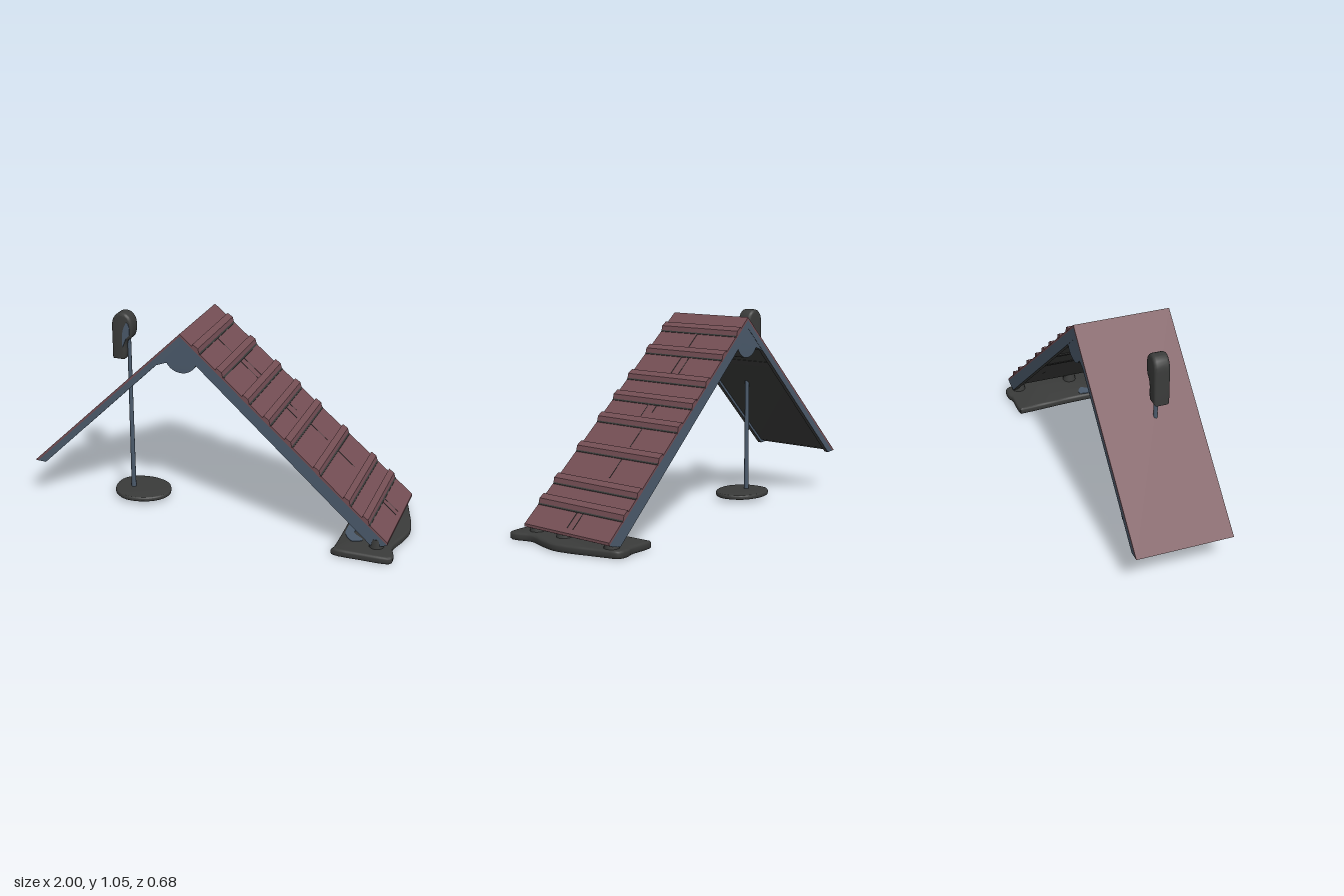
import * as THREE from 'three';
import { toCreasedNormals } from 'three/addons/utils/BufferGeometryUtils.js';

const mat = (name, color) => {
  const m = new THREE.MeshStandardMaterial({ color });
  m.name = name;
  return m;
};

export function createModel() {
  const group = new THREE.Group();
  const red = mat('brick red', 0x744e54);
  const blue = mat('slate blue', 0x4b5a6b);
  const dark = mat('charcoal', 0x3a3b3a);

  const add = (name, geo, material, parent = group) => {
    const m = new THREE.Mesh(geo, material);
    m.name = name;
    parent.add(m);
    return m;
  };
  const poly = (pts) => new THREE.Shape(pts.map((p) => new THREE.Vector2(...p)));

  // Ramp outline seen from above and height of its walking surface
  const lerp = THREE.MathUtils.lerp;
  const peak = -0.16;
  const edge = (x, a, b, c) => (x < peak ? lerp(b, a, (peak - x) / 0.84) : lerp(b, c, (x - peak) / 1.1));
  const front = (x) => edge(x, 0.27, 0.25, 0.262);
  const back = (x) => edge(x, -0.23, -0.25, -0.308);
  const top = (x) => 1.05 - (x < peak ? 0.97 * (peak - x) : 0.873 * (x - peak));

  // Side profile stretched across the ramp; f0..f1 is a fraction of its width
  const across = (name, shape, material, f0 = 0, f1 = 1) => {
    const geo = new THREE.ExtrudeGeometry(shape, { depth: 1, bevelEnabled: false, curveSegments: 20 });
    const p = geo.attributes.position;
    for (let i = 0; i < p.count; i++) {
      const x = p.getX(i);
      p.setZ(i, lerp(back(x), front(x), lerp(f0, f1, p.getZ(i))));
    }
    return add(name, toCreasedNormals(geo, 0.5), material);
  };
  const band = (x0, x1, d0, d1) => poly([
    [x0, top(x0) - d0], [x1, top(x1) - d0], [x1, top(x1) - d1], [x0, top(x0) - d1]]);

  // Red walking surfaces
  across('shortRampDeck', poly([[peak, 1.05], [-1, 0.235], [-0.985, 0.233], [peak, 1.036]]), red);
  across('longRampDeck', band(peak, 0.94, 0, 0.014), red);

  // Side rails with a recessed underside between them
  const ramps = [
    ['shortRamp', [[peak, 1.036], [-0.985, 0.233], [-0.94, 0.23], [peak, 0.995]], 0.02,
      [-0.86, -0.72, -0.56, -0.4], 0.045, 0.013],
    ['longRamp', [[peak, 1.036], [0.94, 0.076], [0.92, 0.068], [0.86, 0.055], [peak, 0.968]], 0.03,
      [0.05, 0.25, 0.45, 0.65, 0.82], 0.074, 0.014],
  ];
  for (const [name, pts, recess, ribs, depth, skin] of ramps) {
    for (const [a, b] of [[0, 0.045], [0.955, 1]]) across(name + 'Rail', poly(pts), [blue, dark], a, b);
    const n = pts.length;
    const core = pts.map(([x, y], i) => [x, i >= n - 2 ? y + recess : y]);
    across(name + 'Core', poly(core), dark, 0.04, 0.96);
    for (const x of ribs) across(name + 'CrossRib', band(x - 0.015, x + 0.015, skin, depth - 0.006), dark, 0.04, 0.96);
    across(name + 'CentreRib', band(ribs[0], ribs[ribs.length - 1], skin, depth - 0.008), dark, 0.48, 0.52);
  }

  // Round hinge housing under the ridge
  const hinge = new THREE.Shape();
  hinge.moveTo(-0.06, 0.93);
  hinge.lineTo(peak, 1.02);
  hinge.lineTo(-0.3, 0.88);
  hinge.lineTo(-0.29, 0.868);
  hinge.lineTo(-0.235, 0.888);
  hinge.absarc(-0.155, 0.93, 0.088, Math.PI * 1.16, Math.PI * 2, false);
  across('ridgeHinge', hinge, [blue, dark], 0.003, 0.997);

  // Raised cleats and the shadow gap below each
  for (const x of [-0.075, 0.05, 0.19, 0.3, 0.415, 0.565, 0.725, 0.825]) {
    const t = new THREE.Shape();
    const at = (dx, h) => [x + dx, top(x + dx) + h];
    t.moveTo(...at(-0.022, -0.005));
    t.lineTo(...at(-0.016, 0.015));
    t.lineTo(...at(0.012, 0.02));
    t.lineTo(...at(0.02, -0.005));
    across('cleat', t, red, -0.004, 1.004);
    across('cleatGap', band(x + 0.014, x + 0.024, -0.002, 0.004), dark, 0.001, 0.999);
  }

  // Board joints: x range and z position
  for (const [x0, x1, z] of [
    [-0.06, 0.03, 0], [0.07, 0.17, 0], [0.07, 0.17, -0.05], [0.32, 0.38, 0.005], [0.32, 0.36, -0.05],
    [0.43, 0.53, -0.057], [0.59, 0.68, -0.06], [0.85, 0.92, -0.01], [0.85, 0.92, -0.05]]) {
    const f = (z - back(x0)) / (front(x0) - back(x0));
    across('boardJoint', band(x0, x1, -0.002, 0.004), dark, f - 0.003, f + 0.003);
  }

  // Flat plate lying at height y; outline points are [x, z]
  const plate = (name, pts, y, height, bevel, material, tension = 0.5) => {
    const curve = new THREE.CatmullRomCurve3(
      pts.map(([x, z]) => new THREE.Vector3(x, -z, 0)), true, 'catmullrom', tension);
    const shape = new THREE.Shape(curve.getPoints(60).map((p) => new THREE.Vector2(p.x, p.y)));
    const geo = new THREE.ExtrudeGeometry(shape, {
      depth: height - 2 * bevel, bevelEnabled: bevel > 0, bevelSize: bevel, bevelOffset: -bevel,
      bevelThickness: bevel, bevelSegments: 3 });
    geo.rotateX(-Math.PI / 2);
    geo.translate(0, y + bevel, 0);
    return add(name, toCreasedNormals(geo, 0.7), material);
  };

  // Foot of the long ramp
  plate('rampFoot', [
    [0.68, 0.335], [0.82, 0.34], [0.96, 0.335], [0.98, 0.29], [0.955, 0.2], [0.985, 0.09], [1, 0], [0.985, -0.09],
    [0.955, -0.19], [0.93, -0.27], [0.905, -0.335], [0.84, -0.34], [0.8, -0.325], [0.68, -0.32],
    [0.665, -0.28], [0.68, 0], [0.68, 0.28]], 0.008, 0.04, 0.012, dark);
  plate('footPatch', [[0.7, 0.06], [0.76, 0.08], [0.74, 0.14], [0.8, 0.2], [0.75, 0.23], [0.7, 0.16]],
    0.046, 0.005, 0, blue);
  for (const z of [0.235, 0.05, -0.265]) {
    const post = add('footPost', new THREE.CylinderGeometry(0.03, 0.04, 0.06, 12), dark);
    post.position.set(0.88, 0.066, z);
  }

  // Signal stand
  plate('standBase', [
    [-0.63, 0.03], [-0.605, 0.11], [-0.53, 0.165], [-0.43, 0.16], [-0.35, 0.11], [-0.32, 0.03],
    [-0.36, -0.06], [-0.45, -0.1], [-0.55, -0.09], [-0.615, -0.04]], 0.025, 0.025, 0.008, dark);
  const pole = add('standPole', new THREE.CylinderGeometry(0.01, 0.013, 0.9, 12), blue);
  pole.position.set(-0.53, 0.49, 0.04);

  // Rounded head on the stand
  const head = new THREE.Shape();
  head.moveTo(-0.612, 0.8);
  head.lineTo(-0.548, 0.8);
  head.quadraticCurveTo(-0.535, 0.81, -0.537, 0.87);
  head.quadraticCurveTo(-0.535, 0.905, -0.515, 0.915);
  head.quadraticCurveTo(-0.495, 0.93, -0.495, 0.985);
  head.bezierCurveTo(-0.497, 1.08, -0.61, 1.08, -0.612, 0.985);
  head.closePath();
  const headGeo = new THREE.ExtrudeGeometry(head, {
    depth: 0.05, bevelSize: 0.014, bevelOffset: -0.014, bevelThickness: 0.015, bevelSegments: 3, curveSegments: 12 });
  headGeo.translate(0, 0, 0.015);
  add('standHead', toCreasedNormals(headGeo, 0.8), dark);

  // Blue face on the head
  const face = new THREE.Shape();
  face.moveTo(-0.551, 0.87);
  face.quadraticCurveTo(-0.56, 0.96, -0.525, 1.01);
  face.quadraticCurveTo(-0.505, 1, -0.51, 0.94);
  face.lineTo(-0.53, 0.92);
  const faceGeo = new THREE.ExtrudeGeometry(face, { depth: 0.005, bevelEnabled: false });
  faceGeo.translate(0, 0, 0.078);
  add('headFace', faceGeo, blue);

  return group;
}
